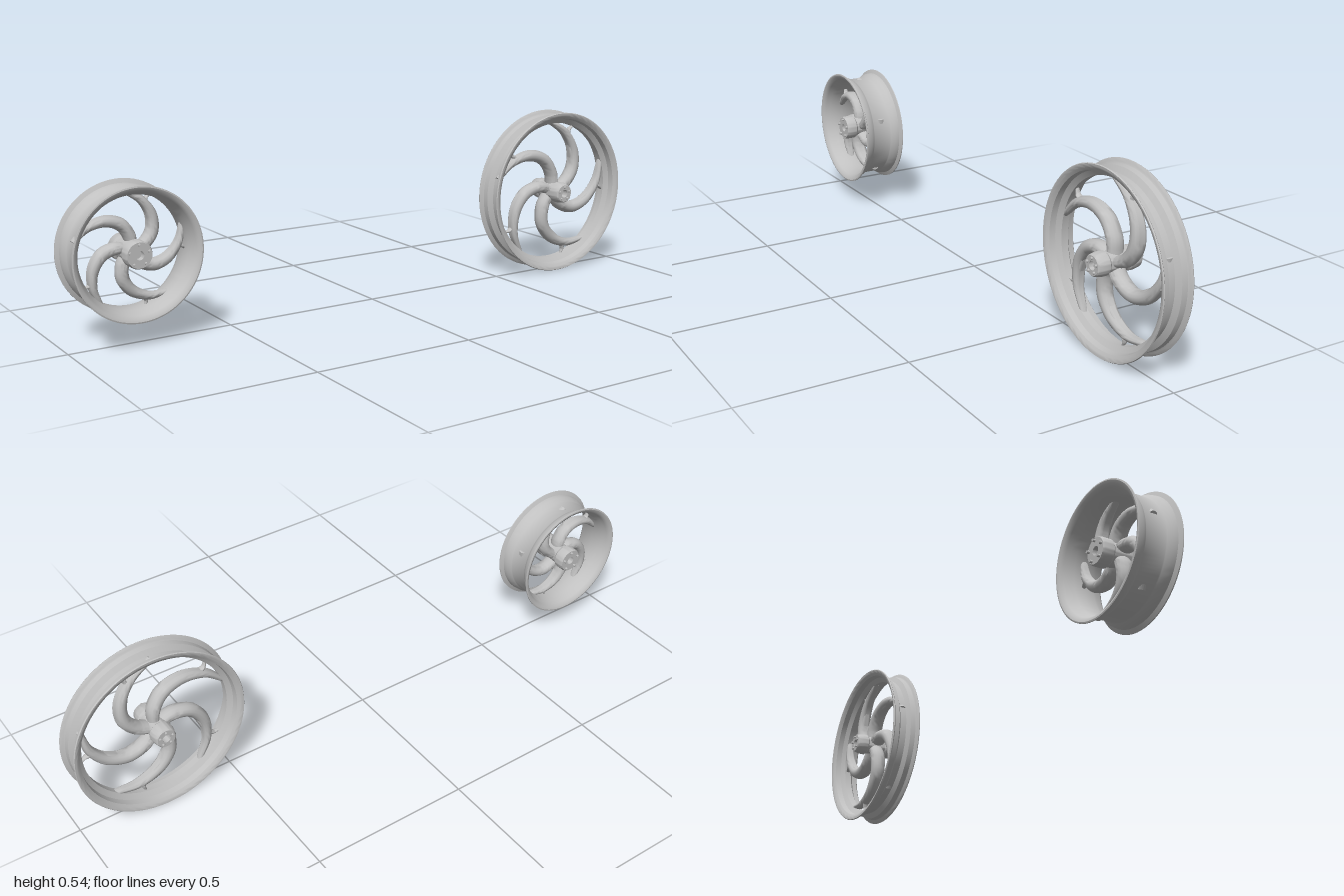
import * as THREE from 'three';
import { toCreasedNormals } from 'three/addons/utils/BufferGeometryUtils.js';

const metal = new THREE.MeshStandardMaterial({ color: 0xc0c0c0 });
metal.name = 'brushed metal';

function add(parent, name, geometry) {
  const mesh = new THREE.Mesh(geometry, metal);
  mesh.name = name;
  parent.add(mesh);
  return mesh;
}

// Closed profile of [radius, z] pairs turned around the z axis
function turned(profile, segments) {
  const points = profile.map(([r, z]) => new THREE.Vector2(r, z));
  const g = new THREE.LatheGeometry(points, segments);
  g.rotateX(Math.PI / 2);
  return toCreasedNormals(g, 0.6);
}

// Tapered horn: oval sections swept along polar points [radius, degrees]
function horn(path, widths, depths) {
  const steps = 28, sides = 14;
  const curve = new THREE.CatmullRomCurve3(path.map(([r, deg]) => {
    const a = THREE.MathUtils.degToRad(deg);
    return new THREE.Vector3(r * Math.cos(a), r * Math.sin(a), 0);
  }));
  const sample = (list, t) => {
    const f = t * (list.length - 1), i = Math.min(Math.floor(f), list.length - 2);
    return THREE.MathUtils.lerp(list[i], list[i + 1], f - i);
  };
  const pos = [], index = [];
  for (let i = 0; i <= steps; i++) {
    const t = i / steps, p = curve.getPoint(t), d = curve.getTangent(t);
    const w = sample(widths, t), h = sample(depths, t);
    for (let j = 0; j < sides; j++) {
      const a = (j / sides) * Math.PI * 2;
      pos.push(p.x - d.y * w * Math.cos(a), p.y + d.x * w * Math.cos(a), h * Math.sin(a));
    }
  }
  for (let i = 0; i < steps; i++) {
    for (let j = 0; j < sides; j++) {
      const a = i * sides + j, b = i * sides + ((j + 1) % sides);
      index.push(a, b, a + sides, b, b + sides, a + sides);
    }
  }
  // End caps
  const last = steps * sides;
  for (let j = 1; j < sides - 1; j++) {
    index.push(0, j + 1, j, last, last + j, last + j + 1);
  }
  const g = new THREE.BufferGeometry();
  g.setAttribute('position', new THREE.Float32BufferAttribute(pos, 3));
  g.setIndex(index);
  return toCreasedNormals(g, 0.9);
}

// Mirror half a rim profile (given from z = 0 outward, then back inside)
function rimProfile(outer, inner) {
  const flip = ([r, z]) => [r, -z];
  const right = [...outer, ...inner];
  const left = right.map(flip).reverse();
  return [...left, ...right];
}

function makeWheel({ name, outer, inner, spokeEnd, start, hub, thick, boltRing, boltZ }) {
  const wheel = new THREE.Group();
  wheel.name = name;
  add(wheel, 'rim', turned(rimProfile(outer, inner), 96));

  // Five curved arms, each with a thinner thorn on its outer curve
  const R = spokeEnd;
  const arm = horn(
    [[0.02, -8], [R * 0.26, 2], [R * 0.48, 18], [R * 0.68, 37], [R * 0.86, 57], [R, 75]],
    [0.017, 0.020, 0.021, 0.019, 0.014, 0.008].map((w) => w * thick),
    [0.026, 0.026, 0.024, 0.021, 0.017, 0.011]);
  const thorn = horn(
    [[R * 0.55, 27], [R * 0.68, 42], [R * 0.8, 50], [R * 0.91, 52], [R * 0.985, 49]],
    [0.012, 0.011, 0.009, 0.006, 0.003].map((w) => w * thick),
    [0.016, 0.014, 0.012, 0.009, 0.005]);
  for (let i = 0; i < 5; i++) {
    const spoke = new THREE.Group();
    spoke.name = 'spoke';
    add(spoke, 'arm', arm);
    add(spoke, 'thorn', thorn);
    spoke.rotation.z = THREE.MathUtils.degToRad(start + i * 72);
    wheel.add(spoke);
  }

  // Stepped hub with a bore
  add(wheel, 'hub', turned(rimProfile(hub, [[0.013, hub[hub.length - 1][1]], [0.013, 0.05], [0.0, 0.05]]), 40));

  // Bolt ring on both faces
  const boltShape = new THREE.CylinderGeometry(0.0042, 0.0042, 0.01, 10).rotateX(Math.PI / 2);
  for (const side of [-1, 1]) {
    for (let i = 0; i < 5; i++) {
      const a = Math.PI / 2 + (i * Math.PI * 2) / 5;
      const bolt = add(wheel, 'bolt', boltShape);
      bolt.position.set(boltRing * Math.cos(a), boltRing * Math.sin(a), side * boltZ);
    }
  }
  return wheel;
}

export function createModel() {
  const model = new THREE.Group();
  model.name = 'wheelPair';

  // Tall narrow wheel
  const tall = makeWheel({
    name: 'tallWheel',
    outer: [[0.24, 0.011], [0.256, 0.021], [0.258, 0.038], [0.262, 0.041], [0.268, 0.043], [0.271, 0.046]],
    inner: [[0.269, 0.049], [0.264, 0.049], [0.258, 0.046], [0.25, 0.04], [0.247, 0.022], [0.232, 0.011], [0.232, 0]],
    spokeEnd: 0.238, start: 18, thick: 1,
    hub: [[0.03, 0.03], [0.035, 0.036], [0.035, 0.05], [0.031, 0.07], [0.028, 0.073]],
    boltRing: 0.021, boltZ: 0.074,
  });
  tall.position.set(0.729, 0.271, -0.001);
  model.add(tall);

  // Small wide wheel
  const wide = makeWheel({
    name: 'wideWheel',
    outer: [[0.17, 0.03], [0.172, 0.033], [0.18, 0.045], [0.182, 0.06], [0.188, 0.063], [0.194, 0.066]],
    inner: [[0.194, 0.069], [0.19, 0.07], [0.182, 0.067], [0.175, 0.058], [0.172, 0.044], [0.164, 0.03], [0.164, 0]],
    spokeEnd: 0.17, start: 18, thick: 0.9,
    hub: [[0.034, 0.03], [0.04, 0.036], [0.04, 0.064], [0.037, 0.07]],
    boltRing: 0.03, boltZ: 0.073,
  });
  wide.position.set(-0.806, 0.268, -0.002);
  model.add(wide);

  return model;
}
